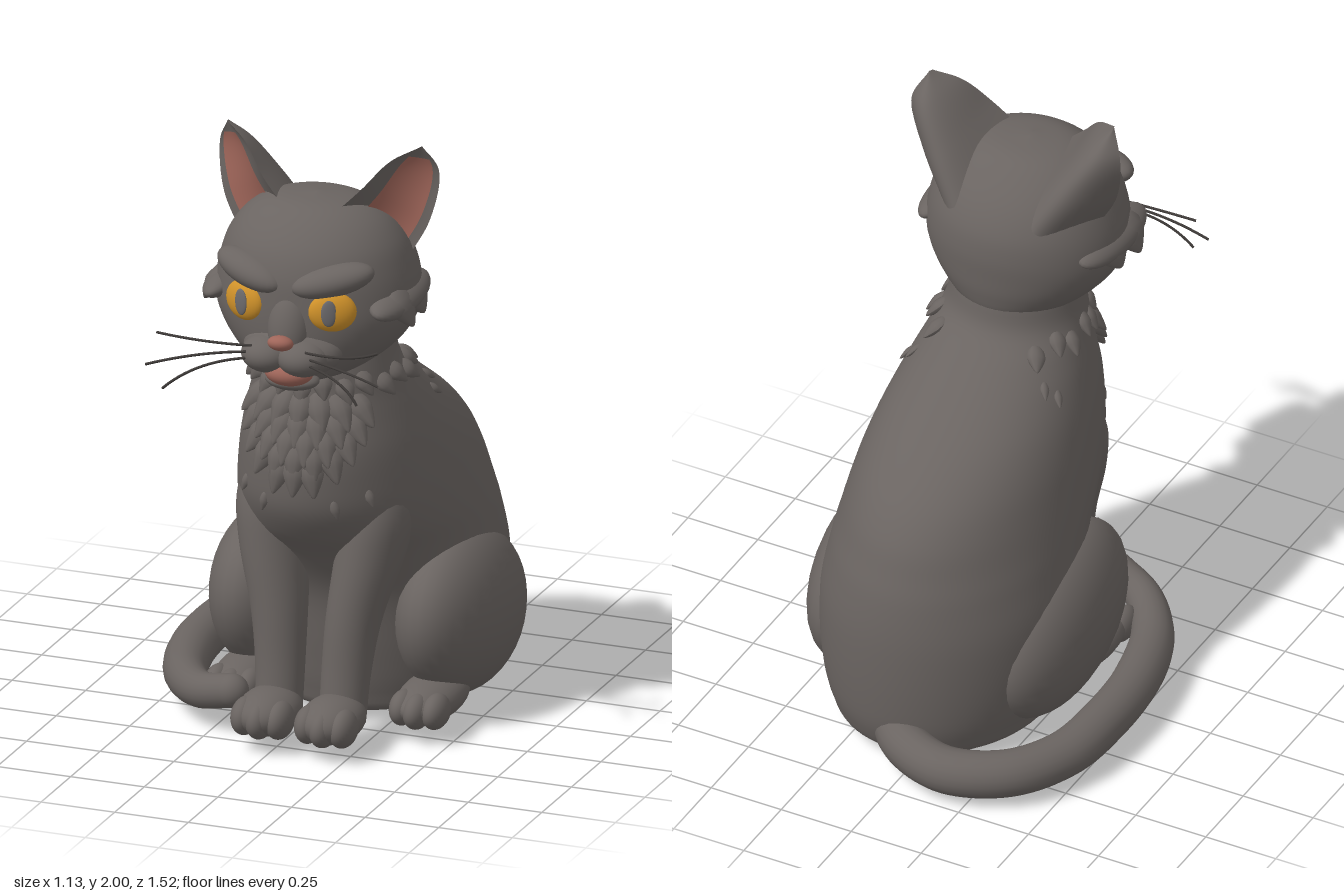
import * as THREE from 'three';
import { mergeVertices } from 'three/addons/utils/BufferGeometryUtils.js';

const V = (x, y, z) => new THREE.Vector3(x, y, z);
const material = (name, color, side = THREE.FrontSide) => {
  const m = new THREE.MeshStandardMaterial({ color, side });
  m.name = name;
  return m;
};

// Smooth grid surface from f(u, v) -> Vector3
function surface(f, nu, nv) {
  const pos = [], index = [];
  for (let i = 0; i <= nu; i++) for (let j = 0; j <= nv; j++) pos.push(...f(i / nu, j / nv).toArray());
  for (let i = 0; i < nu; i++) for (let j = 0; j < nv; j++) {
    const a = i * (nv + 1) + j, b = a + nv + 1;
    index.push(a, a + 1, b, b, a + 1, b + 1);
  }
  let g = new THREE.BufferGeometry();
  g.setAttribute('position', new THREE.Float32BufferAttribute(pos, 3));
  g.setIndex(index);
  g = mergeVertices(g, 1e-5);
  g.computeVertexNormals();
  return g;
}

// Point function through elliptical sections [y, centreX, centreZ, radiusX, radiusZ]
function sections(rows) {
  const mid = new THREE.CatmullRomCurve3(rows.map(r => V(r[1], r[0], r[2])), false, 'catmullrom');
  const rad = new THREE.CatmullRomCurve3(rows.map(r => V(r[3], 0, r[4])), false, 'catmullrom');
  return (t, a) => {
    const c = mid.getPoint(t), r = rad.getPoint(t);
    return V(c.x + r.x * Math.sin(a), c.y, c.z + r.z * Math.cos(a));
  };
}
// Rows given as [y, frontZ, backZ, halfWidth]
const profile = rows => sections(rows.map(([y, f, b, w]) => [y, 0, (f + b) / 2, w, (f - b) / 2]));

export function createModel() {
  const model = new THREE.Group();
  model.name = 'sittingCat';
  const cat = new THREE.Group();
  cat.name = 'catBody';
  cat.position.x = 0.078;
  model.add(cat);

  const fur = material('greyFur', 0x6a6461, THREE.DoubleSide);
  const pink = material('pinkSkin', 0xa0665a, THREE.DoubleSide);
  const amber = material('amberEye', 0xd0922a);
  const pupilMat = material('greyPupil', 0x6c6a6c);
  const dark = material('darkWhisker', 0x3f3b39);

  const add = (name, geo, mat, parent = cat) => {
    const m = new THREE.Mesh(geo, mat);
    m.name = name;
    parent.add(m);
    return m;
  };
  const sphere = new THREE.SphereGeometry(1, 32, 20);
  const ball = (name, mat, p, r, parent = cat) => {
    const m = add(name, sphere, mat, parent);
    m.position.set(...p);
    m.scale.set(...r);
    return m;
  };
  const loft = (name, f, nu = 48, nv = 48) =>
    add(name, surface((u, v) => f(u, v * Math.PI * 2), nu, nv), fur);

  // Torso and neck
  const torso = profile([
    [0.03, 0.0, -0.3, 0], [0.03, 0.18, -0.56, 0.3], [0.1, 0.22, -0.625, 0.355], [0.25, 0.25, -0.645, 0.39],
    [0.45, 0.29, -0.645, 0.4], [0.6, 0.38, -0.625, 0.385], [0.7, 0.47, -0.595, 0.373], [0.8, 0.53, -0.555, 0.357],
    [0.9, 0.545, -0.48, 0.338], [1.0, 0.54, -0.36, 0.313], [1.1, 0.51, -0.2, 0.28],
    [1.18, 0.49, -0.075, 0.25], [1.26, 0.48, 0.03, 0.225], [1.36, 0.46, 0.06, 0.21]]);
  loft('torso', torso, 64, 64);

  // Skull
  loft('head', profile([
    [1.255, 0.5, 0.3, 0], [1.265, 0.58, 0.15, 0.13], [1.31, 0.615, 0.07, 0.215], [1.38, 0.632, 0.045, 0.285],
    [1.46, 0.638, 0.037, 0.325], [1.54, 0.636, 0.035, 0.328], [1.62, 0.626, 0.05, 0.312], [1.7, 0.592, 0.095, 0.28],
    [1.77, 0.53, 0.165, 0.22], [1.812, 0.46, 0.235, 0.135], [1.828, 0.36, 0.34, 0]]), 56, 56);

  // Flattened pointed tuft of fur
  const cone = new THREE.SphereGeometry(1, 10, 12);
  const cp = cone.attributes.position;
  for (let i = 0; i < cp.count; i++) {
    const k = cp.getY(i) > 0 ? 1 - 0.55 * cp.getY(i) : 1;
    cp.setX(i, cp.getX(i) * k);
    cp.setZ(i, cp.getZ(i) * k);
  }
  cone.computeVertexNormals();
  const tuft = (name, p, dir, out, len, wide, thick) => {
    const y = dir.clone().normalize();
    const x = V(0, 0, 0).crossVectors(y, out).normalize();
    const m = add(name, cone, fur);
    m.quaternion.setFromRotationMatrix(new THREE.Matrix4().makeBasis(x, y, V(0, 0, 0).crossVectors(x, y)));
    m.position.copy(p);
    m.scale.set(wide, len, thick);
  };
  const bodyTuft = (name, t, a, len, wide, thick, fan) => {
    const p = torso(t, a), down = torso(t - 0.02, a).sub(p).normalize();
    const out = V(Math.sin(a), 0.15, Math.cos(a));
    tuft(name, p, down.addScaledVector(out, 0.25).add(V(Math.sin(a) * fan, 0, 0)), out, len, wide, thick);
  };
  // Neck collar, chest bib and stray shoulder tufts
  for (let i = 0; i < 17; i++)
    bodyTuft('collarTuft', (11.3 + 0.25 * (i % 2)) / 13, (i / 16 * 2 - 1) * 2.3, 0.05, 0.032, 0.022, 0.3);
  [[8.4, 0.17, 3], [8.85, 0.36, 5], [9.35, 0.5, 6], [9.9, 0.62, 7], [10.5, 0.72, 7]].forEach(([row, spread, n]) => {
    for (let i = 0; i < n; i++)
      bodyTuft('chestTuft', row / 13, (i / (n - 1) * 2 - 1) * spread, 0.075, 0.04, 0.03, 0.7);
  });
  for (const s of [-1, 1]) for (const [row, a] of [[10.3, 2.1], [9.9, 1.9], [7.2, 0.35], [7.5, 0.65]])
    bodyTuft('strayTuft', row / 13, s * a, 0.035, 0.016, 0.012, 0.2);

  for (const s of [-1, 1]) {
    // Front leg and paw
    loft('frontLeg', sections([
      [0.08, s * 0.108, 0.41, 0.075, 0.075], [0.25, s * 0.113, 0.385, 0.08, 0.08], [0.42, s * 0.128, 0.355, 0.09, 0.1],
      [0.62, s * 0.163, 0.305, 0.11, 0.135], [0.78, s * 0.18, 0.265, 0.112, 0.15], [0.95, s * 0.17, 0.22, 0.08, 0.12],
      [1.05, s * 0.15, 0.2, 0.03, 0.05]]), 32, 28);
    ball('frontPaw', fur, [s * 0.108, 0.115, 0.49], [0.1, 0.075, 0.14]);
    for (const k of [-1, 0, 1])
      ball('frontToe', fur, [s * 0.108 + k * 0.058, 0.108, 0.565 - Math.abs(k) * 0.02], [0.044, 0.062, 0.073]);

    // Haunch, hind foot and heel
    const haunch = ball('haunch', fur, [s * 0.315, 0.325, -0.075], [0.173, 0.275, 0.37]);
    haunch.rotation.x = -0.25;
    ball('hindFoot', fur, [s * 0.31, 0.105, 0.15], [0.1, 0.07, 0.2]);
    for (const k of [-1, 0, 1])
      ball('hindToe', fur, [s * 0.315 + k * 0.055, 0.1, 0.29 - Math.abs(k) * 0.02], [0.042, 0.057, 0.072]);
    ball('heel', fur, [s * 0.21, 0.04, 0.0], [0.06, 0.04, 0.07]);

    // Ear: bulged back shell, hollow front and pink lining
    const curve = pts => new THREE.CatmullRomCurve3(pts.map(p => V(s * p[0], p[1], p[2])));
    const inner = curve([[0.06, 1.76, 0.43], [0.165, 1.865, 0.4], [0.245, 1.955, 0.35], [0.325, 1.997, 0.3]]);
    const outer = curve([[0.27, 1.6, 0.29], [0.35, 1.75, 0.27], [0.372, 1.91, 0.25], [0.33, 1.997, 0.29]]);
    const back = curve([[0.13, 1.66, 0.1], [0.215, 1.8, 0.145], [0.29, 1.925, 0.205], [0.328, 1.997, 0.285]]);
    const earPoint = (depth, lift) => (t, w) => {
      const a = inner.getPoint(t), c = outer.getPoint(t), m = a.clone().add(c).multiplyScalar(0.5);
      const q = m.clone().lerp(back.getPoint(t), 2 * depth);
      const p = a.multiplyScalar((1 - w) ** 2).addScaledVector(q, 2 * w * (1 - w)).addScaledVector(c, w * w);
      p.z += lift;
      return p;
    };
    const lining = earPoint(0.18, 0.007);
    add('earBack', surface(earPoint(1, 0), 24, 20), fur);
    add('earFront', surface(earPoint(0.18, 0), 24, 16), fur);
    add('earLining', surface((u, v) => lining(u * 0.8, 0.24 + v * 0.64), 20, 14), pink);

    // Eye with slit pupil, under a soft slanted brow
    const eye = new THREE.Group();
    eye.name = 'eye';
    eye.position.set(s * 0.148, 1.522, 0.594);
    eye.rotation.y = s * 0.4;
    cat.add(eye);
    ball('eyeball', amber, [0, 0, 0], [0.077, 0.066, 0.036], eye);
    ball('pupil', pupilMat, [-s * 0.012, 0.004, 0.0315], [0.025, 0.044, 0.008], eye);
    const brow = ball('brow', fur, [s * 0.14, 1.618, 0.57], [0.135, 0.052, 0.066]);
    brow.rotation.set(0, s * 0.4, s * 0.22);

    // Muzzle pad and cheek ruff
    ball('muzzlePad', fur, [s * 0.06, 1.368, 0.62], [0.085, 0.062, 0.088]);
    const cheek = ball('cheekRuff', fur, [s * 0.283, 1.52, 0.36], [0.07, 0.045, 0.2]);
    cheek.rotation.set(0.05, 0, s * -0.35);
    for (const [y, z, l] of [[1.505, 0.42, 0.075], [1.5, 0.31, 0.06]])
      tuft('cheekTuft', V(s * 0.315, y, z), V(s * 0.5, -0.8, 0), V(s, 0.5, 0), l, 0.075, 0.035);

    // Whiskers
    [[0.41, 1.41, 0.69], [0.43, 1.315, 0.735], [0.365, 1.25, 0.755]].forEach(([x, y, z], i) => {
      const path = new THREE.QuadraticBezierCurve3(
        V(s * 0.09, 1.405 - i * 0.02, 0.68), V(s * 0.25, 1.40 - i * 0.02, 0.70 + i * 0.025),
        V(s * (s > 0 ? x - 0.07 : x), y + (s > 0 ? 0.03 : 0), z));
      add('whisker', new THREE.TubeGeometry(path, 14, 0.0045, 6), dark);
    });
  }

  // Nose bridge, muzzle base, nose, mouth and chin
  const bridge = ball('noseBridge', fur, [0.008, 1.465, 0.6], [0.072, 0.13, 0.07]);
  bridge.rotation.x = -0.25;
  ball('muzzleBase', fur, [0.008, 1.375, 0.575], [0.165, 0.085, 0.1]);
  const nose = ball('nose', pink, [0.008, 1.428, 0.685], [0.042, 0.025, 0.036]);
  nose.rotation.x = -0.3;
  ball('mouth', pink, [0.012, 1.312, 0.622], [0.08, 0.044, 0.062]);
  ball('chin', fur, [0.01, 1.277, 0.59], [0.09, 0.032, 0.065]);

  // Tail curling round the right side, tapering to the front
  const path = new THREE.CatmullRomCurve3([
    V(0.12, 0.11, -0.5), V(0, 0.105, -0.63), V(-0.17, 0.1, -0.688), V(-0.35, 0.1, -0.615), V(-0.46, 0.1, -0.44),
    V(-0.49, 0.105, -0.22), V(-0.475, 0.105, 0.03), V(-0.405, 0.105, 0.26), V(-0.29, 0.12, 0.41), V(-0.17, 0.15, 0.46)]);
  const n = 80, sides = 20;
  const tail = new THREE.TubeGeometry(path, n, 0.076, sides);
  const tp = tail.attributes.position, p = V(0, 0, 0);
  for (let i = 0; i < tp.count; i++) {
    const u = Math.floor(i / (sides + 1)) / n, c = path.getPointAt(u);
    p.fromBufferAttribute(tp, i).sub(c).multiplyScalar(1 - 0.27 * THREE.MathUtils.smoothstep(u, 0.7, 1)).add(c);
    tp.setXYZ(i, p.x, p.y, p.z);
  }
  add('tail', tail, fur, model);
  ball('tailTip', fur, [-0.17, 0.15, 0.46], [0.0555, 0.0555, 0.0555], model);

  return model;
}
